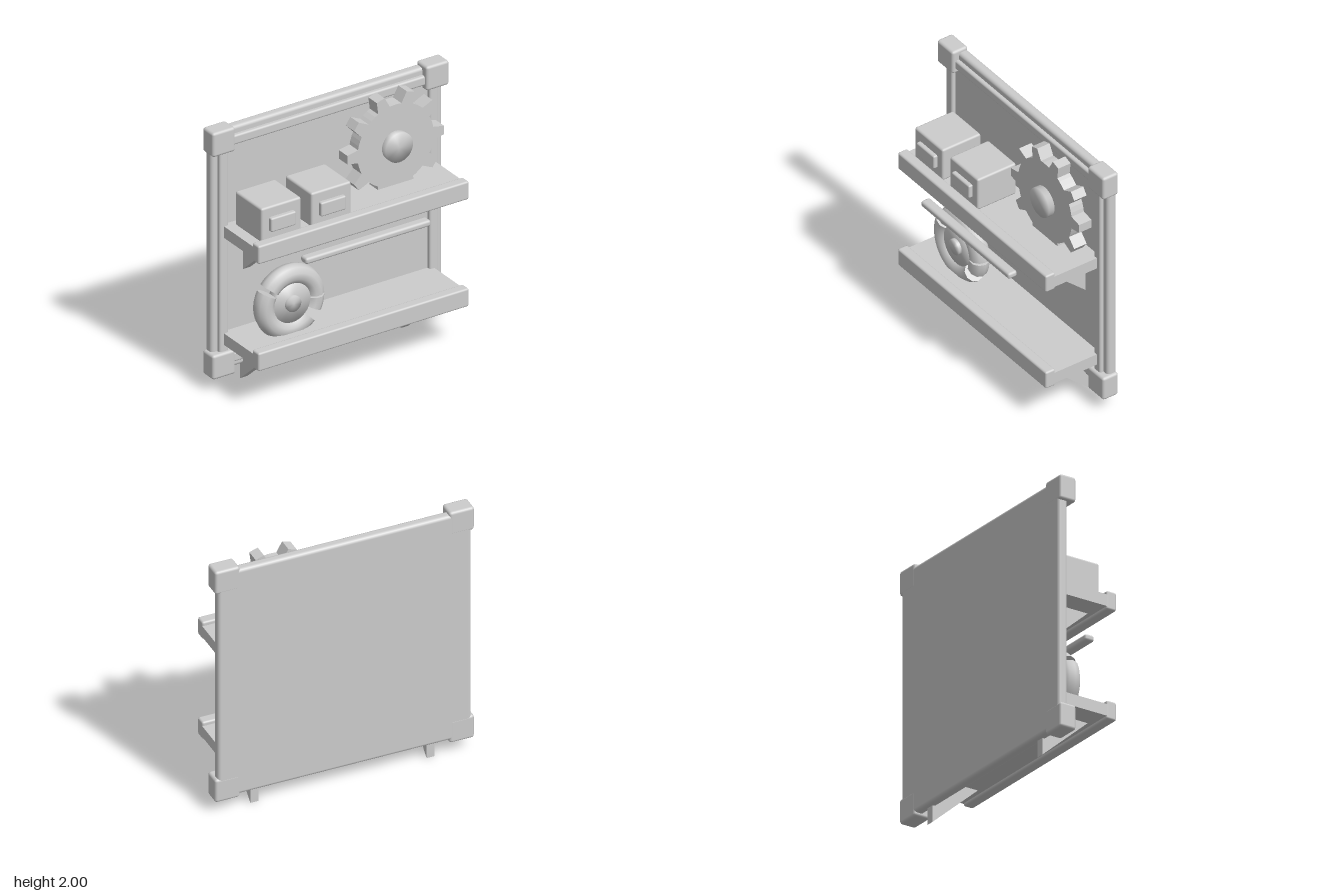
import * as THREE from 'three';
import { mergeVertices } from 'three/addons/utils/BufferGeometryUtils.js';
import { RoundedBoxGeometry } from 'three/addons/geometries/RoundedBoxGeometry.js';

export function createModel() {
  const root = new THREE.Group();
  root.name = 'wallShelf';
  const grey = new THREE.MeshStandardMaterial({ color: 0xcccccc });
  grey.name = 'light grey';

  function add(name, geometry, parent = root) {
    const mesh = new THREE.Mesh(geometry, grey);
    mesh.name = name;
    parent.add(mesh);
    return mesh;
  }

  // box given by its limits, with softened edges when r > 0
  function box(name, [x0, x1], [y0, y1], [z0, z1], r = 0, parent = root) {
    const size = [x1 - x0, y1 - y0, z1 - z0];
    const g = r ? new RoundedBoxGeometry(...size, 2, r) : new THREE.BoxGeometry(...size);
    g.translate((x0 + x1) / 2, (y0 + y1) / 2, (z0 + z1) / 2);
    return add(name, g, parent);
  }

  // disc facing +z with normals shared between cap and wall
  function softDisc(radius, depth) {
    const g = new THREE.CylinderGeometry(radius, radius, depth, 32);
    g.rotateX(Math.PI / 2);
    g.deleteAttribute('normal');
    g.deleteAttribute('uv');
    const merged = mergeVertices(g);
    merged.computeVertexNormals();
    return merged;
  }

  // back board and frame
  const frame = new THREE.Group();
  frame.name = 'frame';
  root.add(frame);
  const midY = 1.05;
  box('backPanel', [-0.92, 0.92], [0.153, 1.947], [-0.296, -0.22], 0, frame);
  for (const s of [-1, 1]) {
    const span = (c, a, b) => (s > 0 ? [c + a, c + b] : [c - b, c - a]);
    box('sideRail', span(0, 0.893, 0.946), [0.2, 1.9], [-0.296, -0.22], 0.025, frame);
    box('sideTrim', span(0, 0.823, 0.897), [0.2, 1.9], [-0.26, -0.19], 0.015, frame);
    box('crossRail', [-0.87, 0.87], span(midY, 0.868, 0.923), [-0.296, -0.22], 0.025, frame);
    box('crossTrim', [-0.87, 0.87], span(midY, 0.797, 0.87), [-0.26, -0.19], 0.015, frame);
    for (const x of [-1, 1]) {
      const xs = x > 0 ? [0.782, 0.968] : [-0.968, -0.782];
      box('cornerBlock', xs, span(midY, 0.762, 0.948), [-0.297, -0.166], 0.02, frame);
    }
  }

  // shelves with front lips and triangular brackets
  const triangle = new THREE.Shape([
    new THREE.Vector2(0.12, 0), new THREE.Vector2(-0.255, 0), new THREE.Vector2(-0.255, -0.335),
  ]);
  for (const y of [0.337, 1.16]) {
    const shelf = new THREE.Group();
    shelf.name = 'shelf';
    root.add(shelf);
    box('plank', [-0.862, 0.86], [y, y + 0.088], [-0.225, 0.18], 0, shelf);
    box('frontLip', [-0.865, 0.86], [y - 0.021, y + 0.118], [0.157, 0.237], 0.014, shelf);
    for (const x of [-0.658, 0.658]) {
      const g = new THREE.ExtrudeGeometry(triangle, { depth: 0.06, bevelEnabled: false });
      g.translate(0, 0, -0.03).rotateY(-Math.PI / 2).scale(1, 1, 1);
      // the turn sends shape x to +z
      add('bracket', g, shelf).position.set(x, y, 0);
    }
  }

  // storage boxes with front plates
  for (const x of [-0.621, -0.212]) {
    const crate = new THREE.Group();
    crate.name = 'storageBox';
    root.add(crate);
    box('boxBody', [x - 0.163, x + 0.163], [1.245, 1.506], [-0.172, 0.152], 0.016, crate);
    box('boxPlate', [x - 0.103, x + 0.103], [1.321, 1.427], [0.13, 0.183], 0.012, crate);
  }

  // cog wheel with ten tapered teeth
  const cog = new THREE.Group();
  cog.name = 'cogWheel';
  cog.position.set(0.45, 1.55, 0);
  root.add(cog);
  const outline = [];
  for (let i = 0; i < 10; i++) {
    const a = (i / 10) * Math.PI * 2;
    for (const [r, w] of [[0.308, -0.05], [0.396, -0.033], [0.396, 0.033], [0.308, 0.05]]) {
      outline.push(new THREE.Vector2(r * Math.cos(a) - w * Math.sin(a), r * Math.sin(a) + w * Math.cos(a)));
    }
    // rim between the teeth
    for (const k of [0.4, 0.6]) {
      const b = a + k * Math.PI / 5;
      outline.push(new THREE.Vector2(0.312 * Math.cos(b), 0.312 * Math.sin(b)));
    }
  }
  const cogGeo = new THREE.ExtrudeGeometry(new THREE.Shape(outline), { depth: 0.104, bevelEnabled: false });
  add('cogBody', cogGeo, cog).position.z = -0.155;
  add('cogHub', softDisc(0.112, 0.1), cog).position.z = -0.055;

  // wheel with a ring broken into arcs
  const wheel = new THREE.Group();
  wheel.name = 'brokenWheel';
  wheel.position.set(-0.455, 0.64, -0.007);
  root.add(wheel);
  const R = 0.205, tube = 0.072;
  for (const [from, to] of [[2, 141], [151, 314], [333, 358]]) {
    const a0 = THREE.MathUtils.degToRad(from), a1 = THREE.MathUtils.degToRad(to);
    const arc = new THREE.TorusGeometry(R, tube, 10, Math.ceil((to - from) / 6), a1 - a0);
    add('ringArc', arc.rotateZ(a0), wheel);
    // closed ends
    for (const [a, turn] of [[a0, Math.PI / 2], [a1, -Math.PI / 2]]) {
      const cap = new THREE.CircleGeometry(tube, 10).rotateX(turn).translate(R, 0, 0).rotateZ(a);
      add('ringEnd', cap, wheel);
    }
  }
  add('wheelDisc', softDisc(0.148, 0.09), wheel);
  add('wheelHub', softDisc(0.06, 0.13), wheel);

  // rod hanging in front of the upper shelf
  box('rod', [-0.515, 0.51], [1.06, 1.108], [0.222, 0.297], 0.018);

  return root;
}
